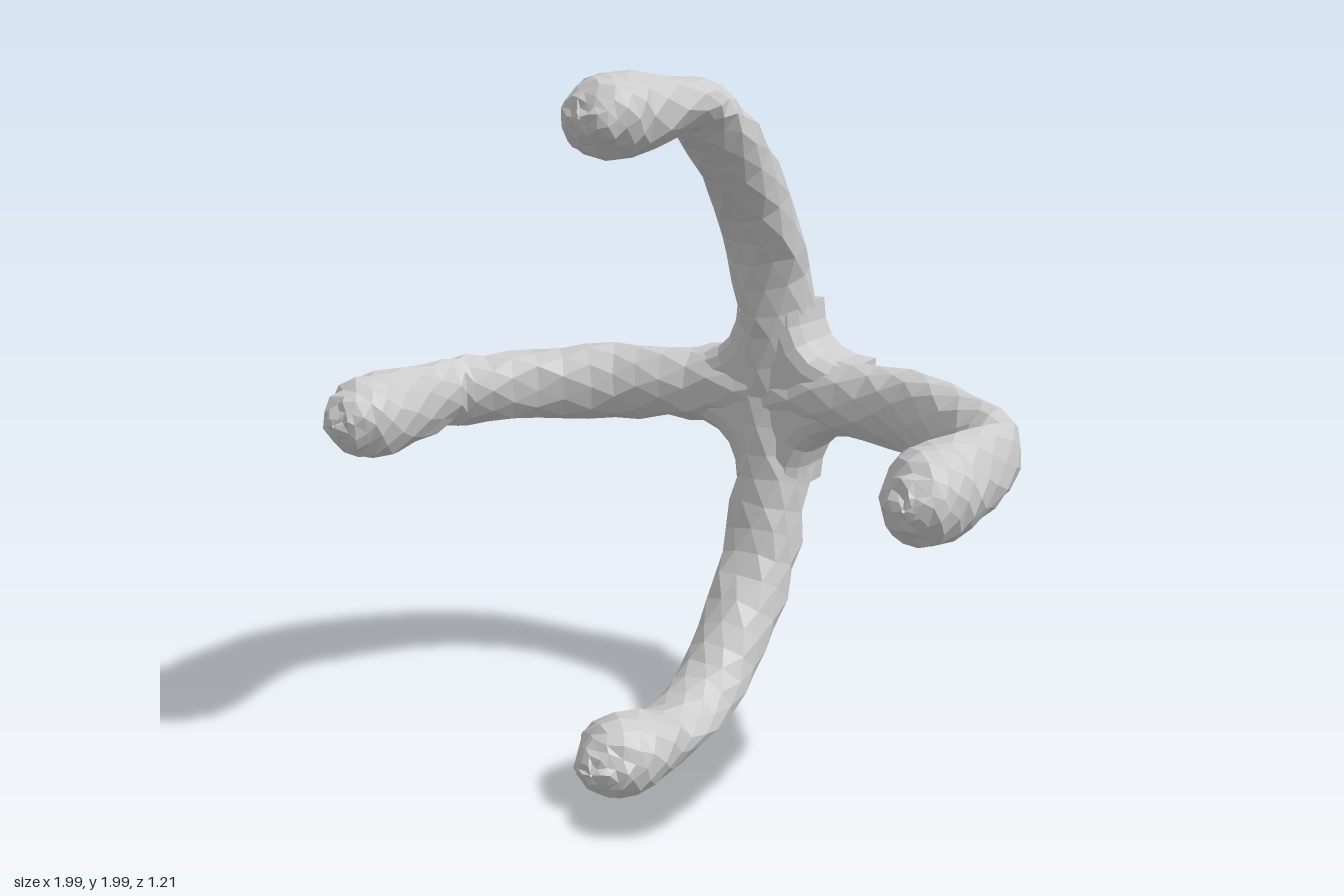
import * as THREE from 'three';

const BACK = -0.605; // plane of the flat back
const SIDES = 10;
const STEPS = 26;
const mat = new THREE.MeshStandardMaterial({ color: 0xcccccc, flatShading: true, side: THREE.DoubleSide });

function seeded(seed) {
  let s = seed;
  return () => ((s = (s * 16807) % 2147483647) / 2147483647) - 0.5;
}

// One curved limb rising along +y from the hub and bending forward to a rounded knob.
function limbGeometry(neckZ, seed) {
  const rand = seeded(seed);
  // distance from hub centre, z, half thickness, half width
  const keys = [
    [0, -0.495, 0.115, 0.12],
    [0.28, -0.475, 0.128, 0.12],
    [0.53, -0.385, 0.112, 0.125],
    [0.73, -0.215, 0.105, 0.118],
    [0.87, -0.03, 0.09, 0.112],
    [0.91, neckZ, 0.074, 0.112],
    [0.88, 0.4, 0.113, 0.128],
    [0.877, 0.51, 0.1, 0.112],
    [0.876, 0.575, 0.06, 0.065],
    [0.876, 0.605, 0.004, 0.004],
  ];
  const path = new THREE.CatmullRomCurve3(keys.map(k => new THREE.Vector3(0, k[0], k[1])), false, 'catmullrom');
  const size = new THREE.CatmullRomCurve3(keys.map(k => new THREE.Vector3(k[3], k[2], 0)), false, 'catmullrom');
  const pos = [], index = [];
  for (let i = 0; i <= STEPS; i++) {
    const t = i / STEPS;
    const c = path.getPoint(t), d = path.getTangent(t), s = size.getPoint(t);
    const jitter = i === STEPS ? 0 : 0.016;
    // the back of the root is squared off, easing into a round section
    const square = THREE.MathUtils.clamp((0.36 - c.y) / 0.12, 0, 1);
    for (let j = 0; j < SIDES; j++) {
      const a = ((j + (i % 2) * 0.5) / SIDES) * Math.PI * 2;
      let u = Math.cos(a), v = Math.sin(a);
      if (v > 0) {
        const m = 1 + square * (1 / Math.max(Math.abs(u), v) - 1);
        u *= m;
        v *= m;
      }
      const x = u * s.x + rand() * jitter;
      const y = c.y + v * s.y * d.z + rand() * jitter;
      const z = c.z - v * s.y * d.y + rand() * jitter;
      pos.push(x, Math.min(y, 0.995), Math.max(z, BACK));
      if (i < STEPS) {
        const p = i * SIDES + j, q = i * SIDES + ((j + 1) % SIDES);
        // alternate the diagonal to follow the staggered rings
        if (i % 2) index.push(p, q, q + SIDES, p, q + SIDES, p + SIDES);
        else index.push(p, q, p + SIDES, q, q + SIDES, p + SIDES);
      }
    }
  }
  const g = new THREE.BufferGeometry();
  g.setAttribute('position', new THREE.Float32BufferAttribute(pos, 3));
  g.setIndex(index);
  g.computeVertexNormals();
  return g;
}

// Cross-shaped hub with filleted inner corners, rounded front and flat back.
function hubGeometry() {
  const w = 0.115, r = 0.3, bevel = 0.09;
  const shape = new THREE.Shape();
  shape.moveTo(r, -w);
  for (let k = 0; k < 4; k++) {
    const a = (k * Math.PI) / 2;
    const at = (x, y) => [x * Math.cos(a) - y * Math.sin(a), x * Math.sin(a) + y * Math.cos(a)];
    shape.lineTo(...at(r, w));
    shape.quadraticCurveTo(...at(w, w), ...at(w, r));
  }
  const g = new THREE.ExtrudeGeometry(shape, {
    depth: 0.13, curveSegments: 5,
    bevelThickness: bevel, bevelSize: 0.07, bevelOffset: -0.07, bevelSegments: 3,
  });
  g.translate(0, 0, BACK);
  const p = g.attributes.position;
  for (let i = 0; i < p.count; i++) p.setZ(i, Math.max(p.getZ(i), BACK));
  g.computeVertexNormals();
  return g;
}

export function createModel() {
  const model = new THREE.Group();
  model.name = 'fourArmedClaw';

  const hub = new THREE.Mesh(hubGeometry(), mat);
  hub.name = 'hub';
  hub.position.y = 1;
  model.add(hub);

  // limbs: top, right, bottom, left
  ['topArm', 'rightArm', 'bottomArm', 'leftArm'].forEach((name, i) => {
    const arm = new THREE.Mesh(limbGeometry(i < 2 ? 0.1 : 0.2, 101 + i * 977), mat);
    arm.name = name;
    arm.position.y = 1;
    arm.rotation.z = (i * Math.PI) / 2;
    model.add(arm);
  });
  return model;
}
